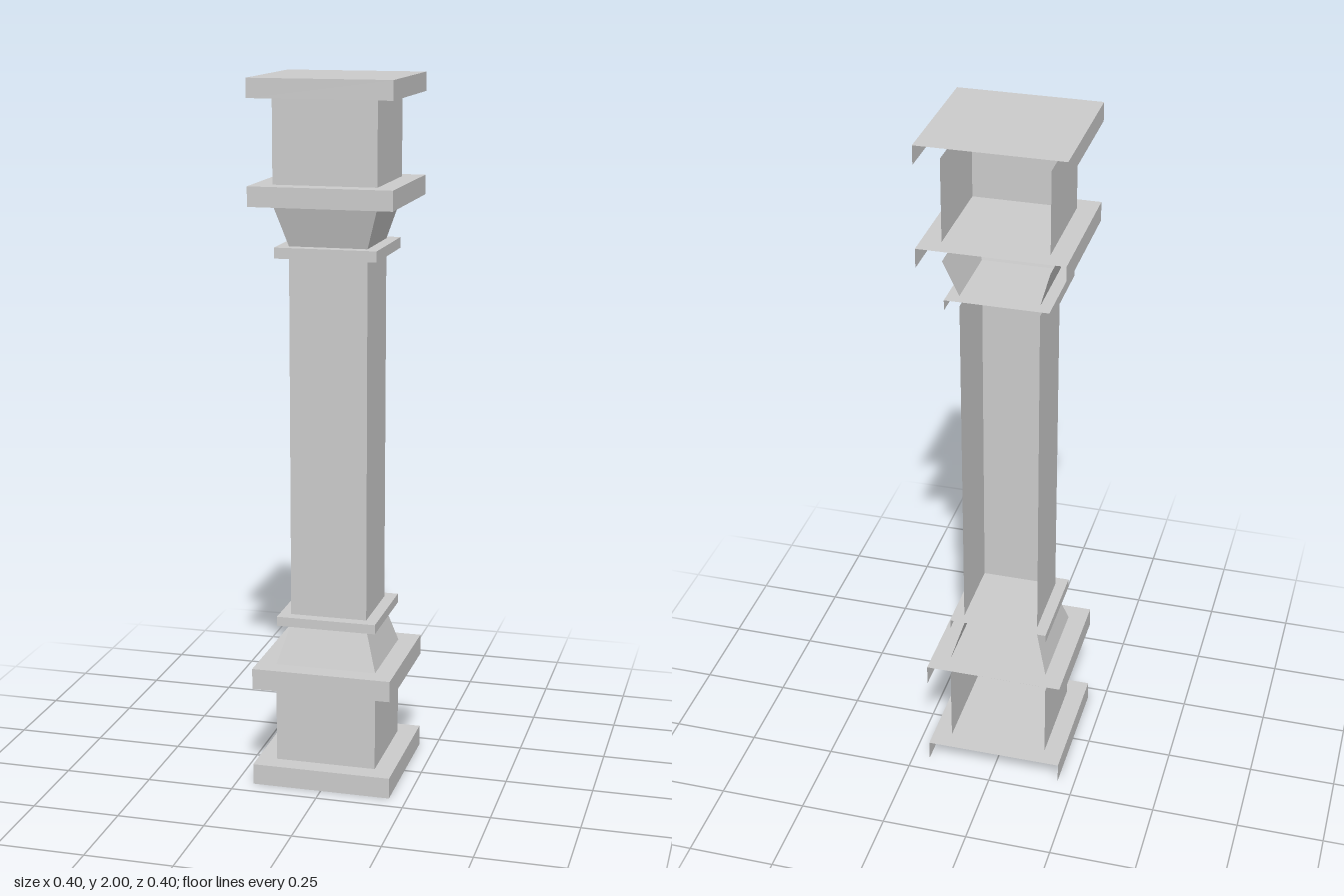
import * as THREE from 'three';

const material = new THREE.MeshStandardMaterial({
  color: 0xcccccc, flatShading: true, side: THREE.DoubleSide,
});

// Three-walled square sleeve, open at the back (-z), top and bottom
function sleeve(name, y0, y1, halfBottom, halfTop = halfBottom) {
  const geometry = new THREE.CylinderGeometry(
    halfTop * Math.SQRT2, halfBottom * Math.SQRT2, y1 - y0,
    3, 1, true, Math.PI * 1.25, Math.PI * 1.5);
  const mesh = new THREE.Mesh(geometry, material);
  mesh.name = name;
  mesh.position.y = (y0 + y1) / 2;
  return mesh;
}

// Hollow slab: a sleeve closed by a full square top
function slab(name, y0, y1, half) {
  const group = new THREE.Group();
  group.name = name;
  const top = new THREE.Mesh(
    new THREE.PlaneGeometry(half * 2, half * 2).rotateX(-Math.PI / 2), material);
  top.name = name + 'Top';
  top.position.y = y1;
  group.add(sleeve(name + 'Rim', y0, y1, half), top);
  return group;
}

export function createModel() {
  const pillar = new THREE.Group();
  pillar.name = 'pillar';
  pillar.add(
    // Pedestal
    slab('basePlinth', 0, 0.06, 0.2),
    sleeve('baseBlock', 0.06, 0.29, 0.145),
    slab('baseLedge', 0.29, 0.35, 0.2),
    sleeve('baseTaper', 0.35, 0.465, 0.145, 0.11),
    slab('lowerCollar', 0.465, 0.492, 0.143),
    // Shaft
    sleeve('shaft', 0.492, 1.515, 0.11),
    // Capital
    slab('upperCollar', 1.515, 1.545, 0.143),
    sleeve('capitalTaper', 1.545, 1.66, 0.11, 0.145),
    slab('capitalLedge', 1.66, 1.715, 0.2),
    sleeve('capitalBlock', 1.715, 1.947, 0.145),
    slab('topSlab', 1.947, 2, 0.2),
  );
  return pillar;
}
